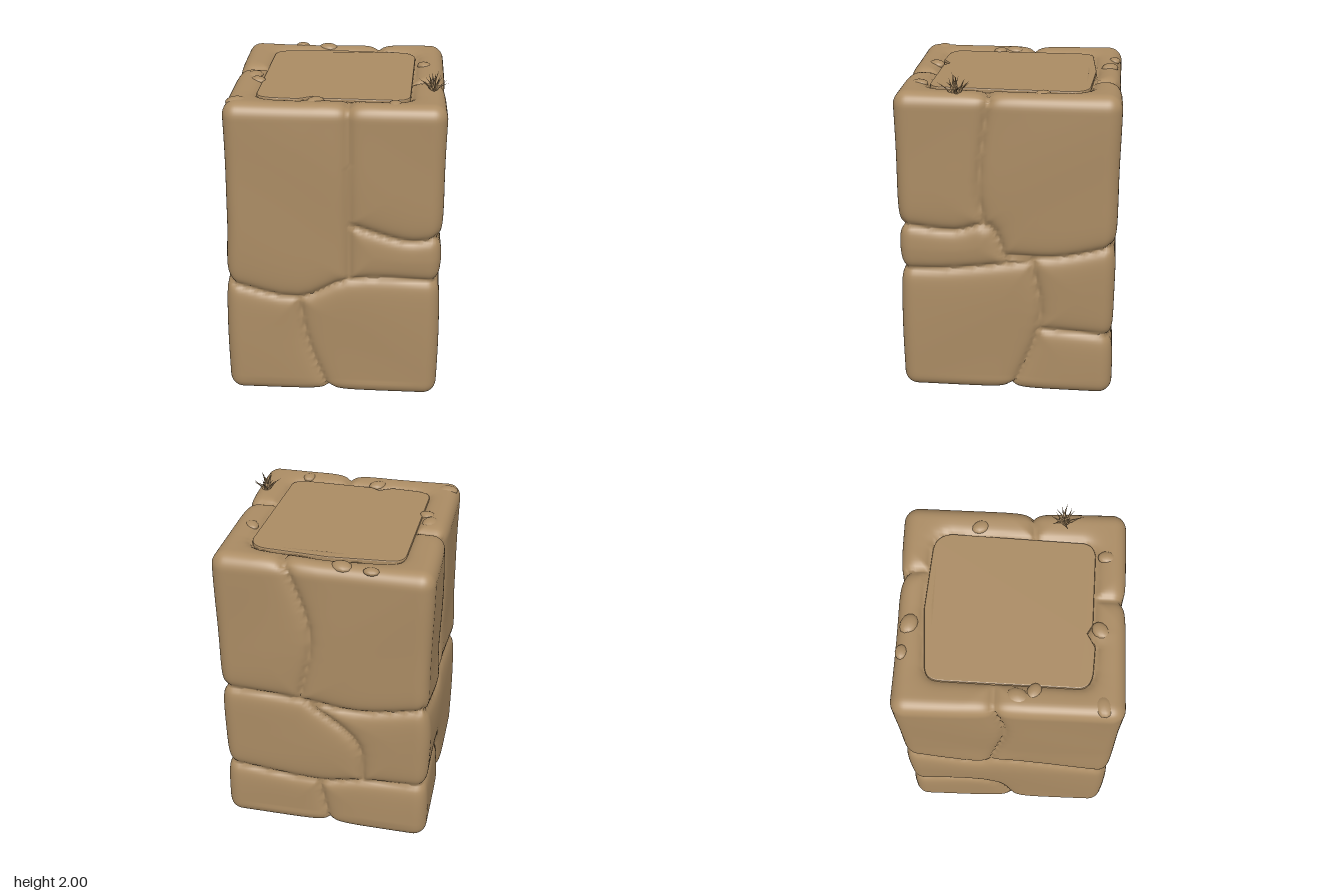
import * as THREE from 'three';
import { mergeVertices } from 'three/addons/utils/BufferGeometryUtils.js';

const H = 0.645, TOP = 1.9, ROUND = 0.085, CELL = 0.017;

// Each side maps a flat (a, b) pair onto the block's surface
const onSide = {
  front: (x, y) => new THREE.Vector3(x, y, H),
  back: (x, y) => new THREE.Vector3(x, y, -H),
  left: (z, y) => new THREE.Vector3(H, y, z),
  right: (z, y) => new THREE.Vector3(-H, y, z),
  top: (x, z) => new THREE.Vector3(x, TOP, z),
  bottom: (x, z) => new THREE.Vector3(x, 0, z),
};

// Joints between the stones, as control points of smooth curves
const frontJoints = [
  [[0.09, TOP], [0.1, 0.81]],
  [[-H, 0.77], [-0.2, 0.68], [0.1, 0.81], [H, 0.81]],
  [[0.1, 1.17], [0.45, 1.07], [H, 1.1]],
  [[-0.2, 0.68], [-0.15, 0.38], [-0.02, 0]],
];
const leftJoints = [
  [[H, 1.1], [0.3, 1.07], [0.1, 1.11], [0, 0.88]],
  [[H, 0.81], [0.35, 0.82], [-0.17, 0.89]],
  [[0.1, TOP], [0.16, 1.32], [0.13, 1.1]],
  [[0, 0.92], [-0.3, 0.92], [-H, 1]],
  [[-0.15, 0.9], [-0.2, 0.5], [-0.03, 0]],
  [[-0.19, 0.44], [-H, 0.41]],
];
const backJoints = [
  [[0.22, TOP], [0.08, 1.43], [0.15, 0.97]],
  [[H, 1], [0.13, 0.97], [-0.2, 0.93], [-H, 1]],
  [[0.13, 0.97], [-0.2, 0.7], [-0.24, 0.4]],
  [[H, 0.41], [0.03, 0.36], [-0.24, 0.4], [-H, 0.42]],
  [[0.04, 0.36], [-0.03, 0]],
];
const rightJoints = [
  [[-0.08, TOP], [-0.02, 1.5], [-0.11, 0.92]],
  [[-H, 1], [-0.19, 0.89], [-0.07, 0.93], [H, 0.77]],
  [[-H, 0.42], [-0.13, 0.41], [0.04, 0]],
];

// Outline of the flat inset on top, as (x, z)
function slabOutline() {
  const s = new THREE.Shape();
  s.moveTo(-0.36, -0.47);
  s.lineTo(0, -0.495);
  s.lineTo(0.36, -0.47);
  s.quadraticCurveTo(0.46, -0.46, 0.47, -0.36);
  s.lineTo(0.44, 0.4);
  s.quadraticCurveTo(0.43, 0.46, 0.36, 0.47);
  s.lineTo(-0.07, 0.46);
  s.lineTo(-0.12, 0.43);
  s.lineTo(-0.2, 0.475);
  s.lineTo(-0.36, 0.465);
  s.quadraticCurveTo(-0.45, 0.45, -0.45, 0.38);
  s.lineTo(-0.435, -0.38);
  s.quadraticCurveTo(-0.43, -0.46, -0.36, -0.47);
  return s;
}

// All joints as short straight pieces in space
function jointLines() {
  const lines = [];
  const addPath = (pts) => {
    for (let i = 1; i < pts.length; i++) lines.push(new THREE.Line3(pts[i - 1], pts[i]));
  };
  const addJoint = (side, points) => {
    const curve = new THREE.CatmullRomCurve3(points.map(([a, b]) => onSide[side](a, b)));
    addPath(curve.getPoints(points.length > 2 ? points.length * 3 : 1));
  };
  frontJoints.forEach((j) => addJoint('front', j));
  leftJoints.forEach((j) => addJoint('left', j));
  backJoints.forEach((j) => addJoint('back', j));
  rightJoints.forEach((j) => addJoint('right', j));
  // Upright joints run on over the rim to the slab, and across the base
  addJoint('top', [[0.09, H], [0.09, 0.47]]);
  addJoint('top', [[0.22, -H], [0.24, -0.48]]);
  addJoint('top', [[-H, -0.08], [-0.44, -0.08]]);
  addJoint('top', [[H, 0.1], [0.45, 0.12]]);
  addJoint('bottom', [[-0.02, H], [-0.03, -H]]);
  addJoint('bottom', [[-H, 0.04], [H, -0.03]]);
  addPath(slabOutline().getPoints(4).map((p) => onSide.top(p.x, p.y)));
  return lines;
}

// Rounded block with the joints pressed into its surface
function carvedBlock() {
  const lines = jointLines();
  const n = Math.round((2 * H) / CELL), ny = Math.round(TOP / CELL);
  let geo = new THREE.BoxGeometry(2 * H, TOP, 2 * H, n, ny, n).translate(0, TOP / 2, 0);
  geo.deleteAttribute('uv');
  geo.deleteAttribute('normal');
  geo = mergeVertices(geo);
  const lo = new THREE.Vector3(ROUND - H, ROUND, ROUND - H);
  const hi = new THREE.Vector3(H - ROUND, TOP - ROUND, H - ROUND);
  const pos = geo.attributes.position;
  const p = new THREE.Vector3(), q = new THREE.Vector3(), near = new THREE.Vector3(), inner = new THREE.Vector3();
  for (let i = 0; i < pos.count; i++) {
    p.fromBufferAttribute(pos, i);
    let gap = Infinity;
    for (const line of lines) {
      line.closestPointToPoint(p, true, q);
      const d = q.distanceTo(p);
      if (d < gap) { gap = d; near.copy(q); }
    }
    let press = 0.028 * Math.exp(-gap / 0.02) + 0.018 * Math.exp(-gap / 0.065);
    // Seat for the top slab
    if (p.y > TOP - 0.001 && Math.abs(p.x - 0.01) < 0.42 && Math.abs(p.z) < 0.44) press += 0.025;
    // Points close to a joint move onto it, which keeps it crisp
    if (gap < CELL * 0.5) p.copy(near);
    inner.copy(p).clamp(lo, hi);
    const normal = p.clone().sub(inner).normalize();
    const wave = p.y > 0.1 ? 0.004 * Math.sin(5 * p.x + 3 * p.y) * Math.sin(4 * p.z + 5 * p.y + 1) : 0;
    p.copy(inner).addScaledVector(normal, ROUND - press + wave);
    // The upper stones sit a little further in on the right
    if (p.x < 0) p.x *= 1 - 0.04 * THREE.MathUtils.smoothstep(p.y, 0.72, 1.2);
    pos.setXYZ(i, p.x, p.y, p.z);
  }
  geo.computeVertexNormals();
  return geo;
}

// Tapering blade that leans outward along +x
function bladeGeometry(length, lean) {
  const geo = new THREE.ConeGeometry(0.011, length, 4, 4).translate(0, length / 2, 0);
  const pos = geo.attributes.position;
  for (let i = 0; i < pos.count; i++) {
    const t = pos.getY(i) / length;
    pos.setX(i, pos.getX(i) + lean * t * (0.6 + 0.4 * t));
  }
  geo.computeVertexNormals();
  return geo;
}

export function createModel() {
  const stone = new THREE.MeshStandardMaterial({ color: 0xab8c64 });
  stone.name = 'tanStone';
  const group = (name, parent) => {
    const g = new THREE.Group();
    g.name = name;
    if (parent) parent.add(g);
    return g;
  };
  const add = (name, geo, parent) => {
    const mesh = new THREE.Mesh(geo, stone);
    mesh.name = name;
    parent.add(mesh);
    return mesh;
  };
  const model = group('stonePillar');

  // The stones are turned very slightly
  const block = group('stoneBlock', model);
  block.rotation.y = -0.024;
  add('fittedStones', carvedBlock(), block);

  // Flat slab set into the top
  const slab = new THREE.ExtrudeGeometry(slabOutline(), {
    depth: 0.05, bevelThickness: 0.008, bevelSize: 0.008, bevelOffset: -0.012, bevelSegments: 2, curveSegments: 6,
  });
  add('topSlab', slab.rotateX(Math.PI / 2).translate(0, 1.878, 0), block);

  // Small lumps along the rim: x, z, radius
  const lumps = [[-0.27, -0.6, 0.035], [-0.5, 0.05, 0.05], [-0.47, 0.14, 0.04], [-0.1, 0.5, 0.045],
    [0.52, -0.2, 0.04], [-0.54, 0.52, 0.05], [0.35, 0.53, 0.04], [-0.1, -0.57, 0.05]];
  lumps.forEach(([x, z, r], i) => {
    const lump = add('rimLump', new THREE.SphereGeometry(r, 12, 8), block);
    lump.scale.set(1.3, 0.6, 1);
    lump.rotation.y = i * 1.3;
    lump.position.set(x, 1.892 - r * 0.3, z);
  });

  // Spiky tuft on the rim: a low outer ring and a taller middle
  const tuft = group('grassTuft', model);
  tuft.position.set(0.56, 1.88, 0.3);
  for (let i = 0; i < 17; i++) {
    const outer = i < 10;
    const length = (outer ? 0.06 : 0.095) + 0.0125 * (i % 3);
    const lean = outer ? 0.07 + 0.02 * (i % 2) : 0.035;
    const blade = add('blade', bladeGeometry(length, lean), tuft);
    blade.rotation.y = i * (outer ? Math.PI / 5 : 0.9) + 0.3;
    blade.position.set(0.008 * Math.cos(i * 2), 0, 0.02 * Math.sin(i * 2));
  }
  return model;
}
